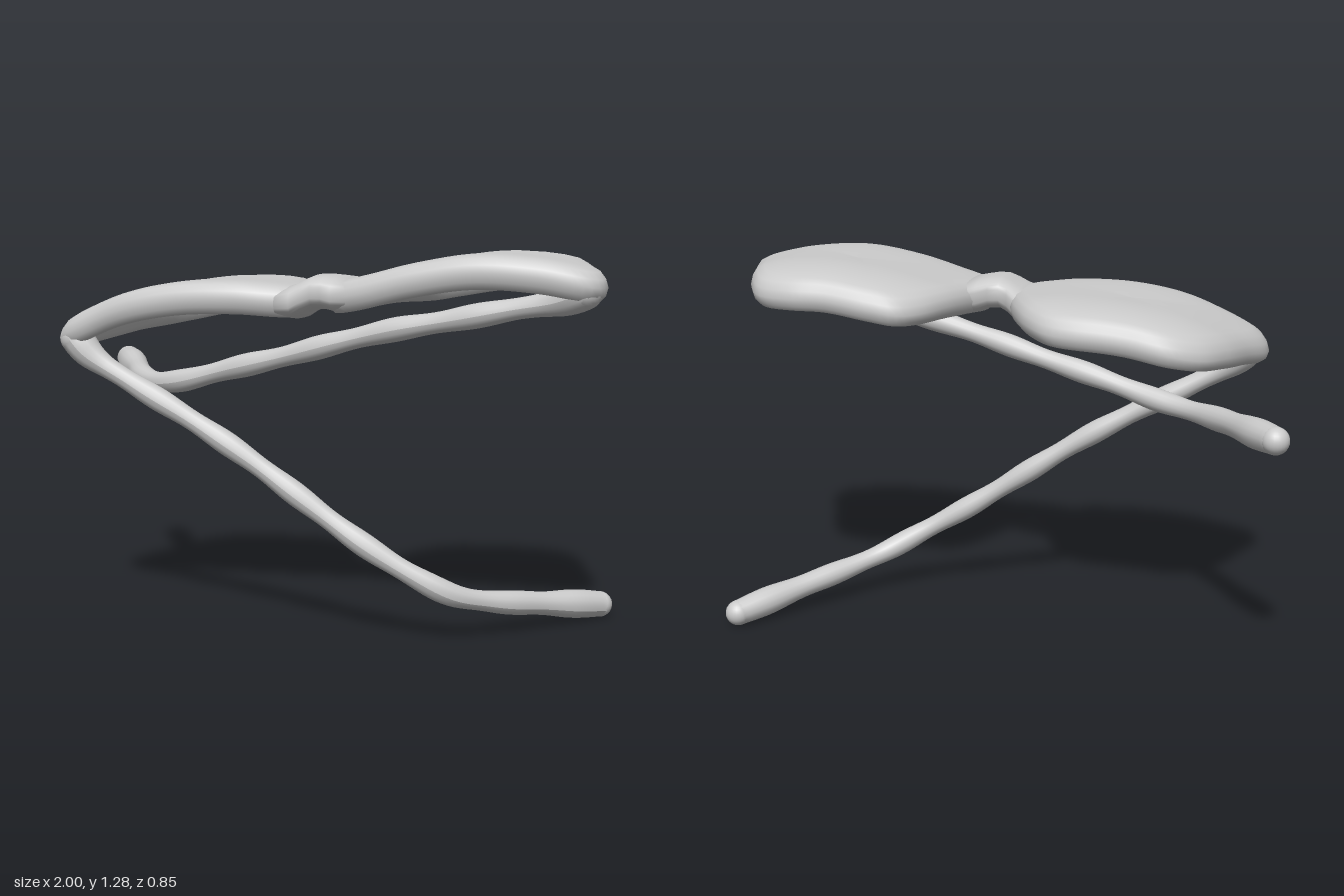
import * as THREE from 'three';

const material = new THREE.MeshStandardMaterial({ color: 0xcccccc });

// Height of the frame's centre line, sampled every 0.2 along x from -1 to 1
const heights = [0.92, 1.005, 1.083, 1.122, 1.13, 1.12, 1.147, 1.195, 1.225, 1.215, 1.18];
const bow = new THREE.SplineCurve(heights.map((y, i) => new THREE.Vector2(-1 + i * 0.2, y)));
const frameHeight = (x, z) => bow.getPoint((x + 1) / 2).y - (z < 0 ? 0.6 * z * z : 0);

// Lens cross-section from top centre, around the rim, to underside centre: [inset, height]
const section = [
  [1, 0.052], [0.8, 0.054], [0.6, 0.057], [0.4, 0.058], [0.25, 0.057], [0.13, 0.054],
  [0.06, 0.045], [0.018, 0.025], [0, 0], [0.018, -0.028], [0.06, -0.048], [0.11, -0.052],
  [0.16, -0.04], [0.19, -0.015], [0.22, 0.005], [0.35, 0.022], [0.6, 0.03], [0.8, 0.03], [1, 0.03],
];

// Smooth skin over rings of points; each ring is closed on itself
function skin(name, rings) {
  const n = rings[0].length, index = [];
  for (let i = 0; i < rings.length - 1; i++) {
    for (let j = 0; j < n; j++) {
      const a = i * n + j, d = i * n + (j + 1) % n;
      index.push(a, a + n, d + n, a, d + n, d);
    }
  }
  const g = new THREE.BufferGeometry();
  g.setAttribute('position', new THREE.Float32BufferAttribute(rings.flat(2), 3));
  g.setIndex(index);
  g.computeVertexNormals();
  const mesh = new THREE.Mesh(g, material);
  mesh.name = name;
  return mesh;
}

function lens(name, outline, cx, cz) {
  const curve = new THREE.CatmullRomCurve3(
    outline.map(([x, z]) => new THREE.Vector3(x, 0, z)), true, 'centripetal');
  const loop = curve.getSpacedPoints(96).slice(0, 96);
  return skin(name, section.map(([inset, dy]) => loop.map(p => {
    const x = p.x + (cx - p.x) * inset, z = p.z + (cz - p.z) * inset;
    return [x, frameHeight(x, z) + dy, z];
  })));
}

// Bridge stations along x: [x, centre y, half height, back z, front z]
const bridgeStations = [
  [-0.075, 1.115, 0.01, 0.17, 0.3], [-0.06, 1.115, 0.05, 0.04, 0.37], [-0.01, 1.12, 0.058, 0.075, 0.37],
  [0.025, 1.138, 0.057, 0.112, 0.365], [0.06, 1.152, 0.056, 0.13, 0.362], [0.095, 1.152, 0.056, 0.118, 0.364],
  [0.13, 1.145, 0.058, 0.08, 0.368], [0.18, 1.142, 0.052, 0.04, 0.365], [0.195, 1.14, 0.01, 0.17, 0.3],
];

function bridge() {
  const soften = v => Math.sign(v) * Math.abs(v) ** 0.7;
  return skin('bridge', bridgeStations.map(([x, y, h, back, front]) =>
    Array.from({ length: 32 }, (_, j) => {
      const a = -j / 32 * Math.PI * 2;
      return [x, y + h * soften(Math.cos(a)), (back + front) / 2 + (front - back) / 2 * soften(Math.sin(a))];
    })));
}

function ball(name, x, y, z, r) {
  const mesh = new THREE.Mesh(new THREE.SphereGeometry(r, 24, 16), material);
  mesh.position.set(x, y, z);
  mesh.name = name;
  return mesh;
}

// Folded arm: a slightly uneven tube, thicker at the ear tip and flaring into a round hinge
function arm(name, points) {
  const group = new THREE.Group();
  group.name = name;
  const path = new THREE.CatmullRomCurve3(points.map(p => new THREE.Vector3(...p)), false, 'centripetal');
  const segments = 100, sides = 16;
  const radius = t => 0.037 + 0.003 * Math.sin(t * 48)
    + 0.01 * THREE.MathUtils.smoothstep(t, 0.78, 0.95) + 0.018 * (1 - THREE.MathUtils.smoothstep(t, 0, 0.07));
  const g = new THREE.TubeGeometry(path, segments, 1, sides);
  const p = g.attributes.position, v = new THREE.Vector3();
  for (let i = 0; i < p.count; i++) {
    const t = Math.floor(i / (sides + 1)) / segments, c = path.getPointAt(t);
    v.fromBufferAttribute(p, i).sub(c).multiplyScalar(radius(t)).add(c);
    p.setXYZ(i, v.x, v.y, v.z);
  }
  g.computeVertexNormals();
  const tube = new THREE.Mesh(g, material);
  tube.name = name + 'Tube';
  group.add(tube);
  [['Hinge', 0], ['Tip', 1]].forEach(([part, t]) => {
    const c = path.getPointAt(t);
    group.add(ball(name + part, c.x, c.y, c.z, radius(t)));
  });
  return group;
}

export function createModel() {
  const model = new THREE.Group();
  model.name = 'glasses';

  // Lenses with their rims
  model.add(lens('rightLens', [
    [-0.87, 0.29], [-0.84, 0.355], [-0.7, 0.388], [-0.55, 0.415], [-0.25, 0.408], [-0.08, 0.375],
    [0.01, 0.33], [0.035, 0.22], [0.005, 0.09], [-0.04, -0.03], [-0.1, -0.14], [-0.18, -0.22],
    [-0.27, -0.245], [-0.45, -0.245], [-0.6, -0.24], [-0.7, -0.18], [-0.77, -0.06], [-0.82, 0.1],
  ], -0.42, 0.1));
  model.add(lens('leftLens', [
    [0.13, 0.09], [0.18, -0.06], [0.24, -0.18], [0.31, -0.245], [0.4, -0.262], [0.55, -0.265],
    [0.68, -0.27], [0.8, -0.23], [0.87, -0.12], [0.93, 0.05], [0.995, 0.25], [0.97, 0.33],
    [0.75, 0.385], [0.45, 0.398], [0.2, 0.37], [0.11, 0.33], [0.09, 0.22],
  ].reverse(), 0.55, 0.08));

  model.add(bridge());

  // Folded arms, from hinge to ear tip
  model.add(arm('rightArm', [
    [-0.805, 0.978, 0.312], [-0.75, 0.92, 0.312], [-0.6, 0.83, 0.305], [-0.4, 0.72, 0.295],
    [-0.2, 0.6, 0.285], [0, 0.465, 0.275], [0.2, 0.33, 0.265], [0.38, 0.222, 0.238],
    [0.5, 0.155, 0.185], [0.6, 0.12, 0.09], [0.73, 0.088, -0.06], [0.905, 0.046, -0.28],
  ]));
  model.add(arm('leftArm', [
    [0.93, 1.168, 0.28], [0.85, 1.137, 0.27], [0.7, 1.108, 0.26], [0.5, 1.068, 0.245], [0.3, 1.03, 0.225],
    [0.1, 0.98, 0.205], [-0.1, 0.925, 0.18], [-0.3, 0.875, 0.15], [-0.5, 0.822, 0.11],
    [-0.61, 0.807, 0.06], [-0.73, 0.81, -0.05], [-0.83, 0.825, -0.2], [-0.957, 0.838, -0.385],
  ]));
  return model;
}
